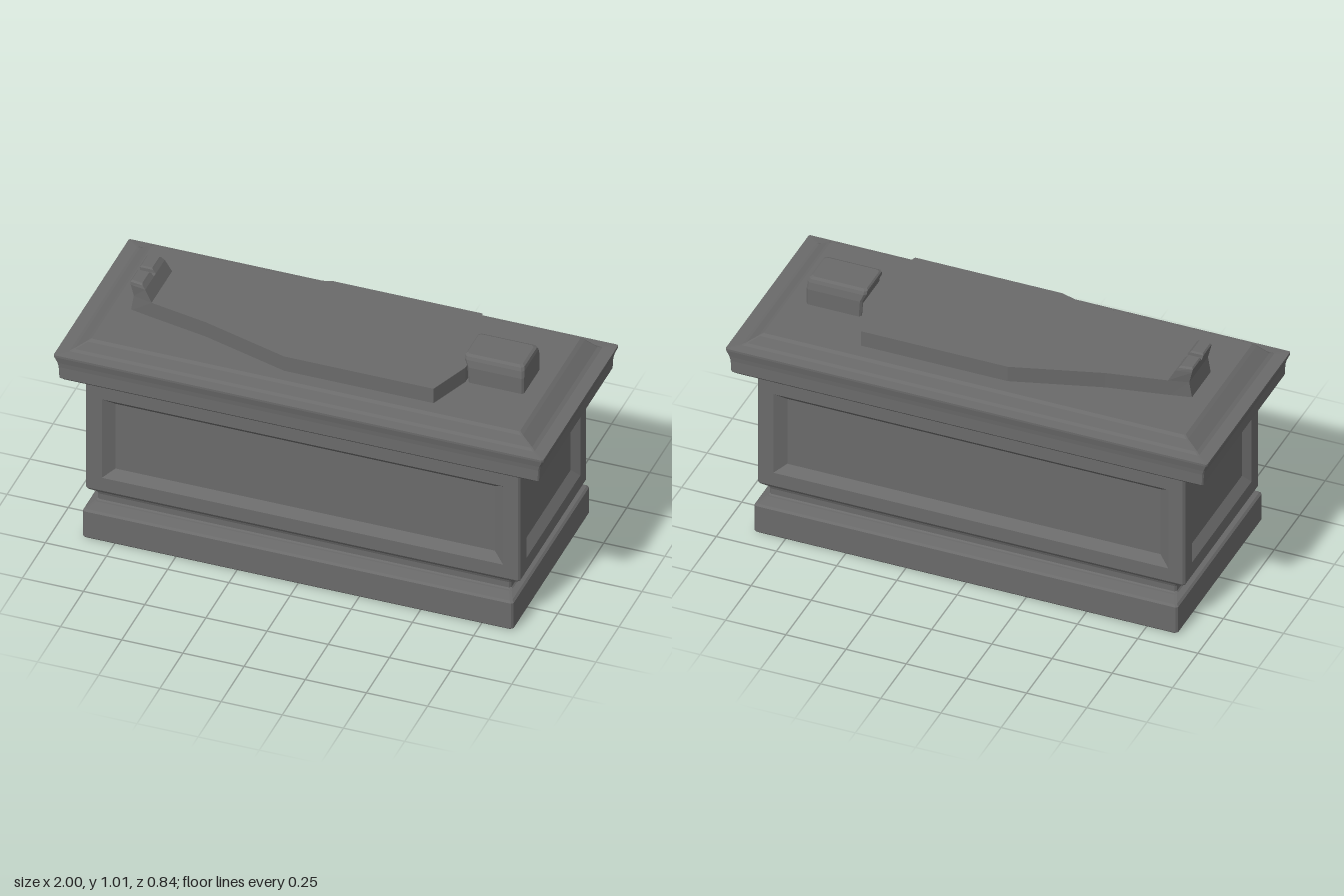
import * as THREE from 'three';

const stone = new THREE.MeshStandardMaterial({ color: 0x6a6a6a });
stone.name = 'grey stone';

// Joins equal-length rings of [x, y, z] points with flat faces.
function loft(rings, { start = true, end = true, skip = () => false } = {}) {
  const pos = [];
  const tri = (a, b, c) => pos.push(...a, ...b, ...c);
  const n = rings[0].length;
  for (let r = 0; r < rings.length - 1; r++) {
    const a = rings[r], b = rings[r + 1];
    for (let i = 0; i < n; i++) {
      if (skip(r, i)) continue;
      const j = (i + 1) % n;
      tri(a[i], a[j], b[j]);
      tri(a[i], b[j], b[i]);
    }
  }
  const last = rings[rings.length - 1];
  for (let i = 1; i < n - 1; i++) {
    if (start) tri(rings[0][0], rings[0][i + 1], rings[0][i]);
    if (end) tri(last[0], last[i], last[i + 1]);
  }
  const g = new THREE.BufferGeometry();
  g.setAttribute('position', new THREE.Float32BufferAttribute(pos, 3));
  g.computeVertexNormals();
  return g;
}

// Horizontal rectangle with small chamfered corners.
function rectRing(hx, hz, y, c = 0.008) {
  return [[hx, hz - c], [hx, c - hz], [hx - c, -hz], [c - hx, -hz],
    [-hx, c - hz], [-hx, hz - c], [c - hx, hz], [hx - c, hz]].map(([x, z]) => [x, y, z]);
}

// Upright rectangle facing +z.
function panelRing(hx, y0, y1, z) {
  return [[hx, y0, z], [hx, y1, z], [-hx, y1, z], [-hx, y0, z]];
}

export function createModel() {
  const model = new THREE.Group();
  const add = (name, geometry, parent = model) => {
    const mesh = new THREE.Mesh(geometry, stone);
    mesh.name = name;
    parent.add(mesh);
    return mesh;
  };

  // Plinth
  add('plinth', loft([
    [0.872, 0.41, 0], [0.88, 0.418, 0.008], [0.88, 0.418, 0.125],
    [0.872, 0.41, 0.133], [0.85, 0.36, 0.14],
  ].map((p) => rectRing(...p))));

  // Chest core with a narrow neck; its four broad sides are left open for the panels
  const HX = 0.888, HZ = 0.365, C = 0.008, Y0 = 0.2, Y1 = 0.69;
  add('chestCore', loft([
    [0.855, 0.355, 0.135], [0.845, 0.346, 0.145], [0.845, 0.346, 0.17], [0.855, 0.35, 0.182],
    [HX - 0.005, HZ - 0.005, 0.192], [HX, HZ, Y0], [HX, HZ, Y1], [HX - 0.01, HZ - 0.01, 0.705],
  ].map((p) => rectRing(...p, C)), { skip: (r, i) => r === 5 && i % 2 === 0 }));

  // Recessed panels on all four sides
  const sides = [
    ['frontPanel', 0, HX - C, HZ, 0.82, 0.045],
    ['backPanel', Math.PI, HX - C, HZ, 0.82, 0.045],
    ['leftPanel', Math.PI / 2, HZ - C, HX, 0.293, 0.024],
    ['rightPanel', -Math.PI / 2, HZ - C, HX, 0.293, 0.024],
  ];
  for (const [name, turn, half, dist, w, bevel] of sides) {
    add(name, loft([
      panelRing(half, Y0, Y1, dist),
      panelRing(w, 0.26, 0.627, dist),
      panelRing(w - bevel, 0.295, 0.598, dist - 0.03),
    ], { start: false })).rotation.y = turn;
  }

  // Overhanging lid with moulded edge and raised bevelled top
  add('lid', loft([
    [0.88, 0.358, 0.69], [0.9, 0.372, 0.7], [0.965, 0.398, 0.708], [0.98, 0.405, 0.716],
    [0.983, 0.405, 0.765], [0.988, 0.407, 0.785], [1, 0.412, 0.812], [1, 0.412, 0.821],
    [0.95, 0.372, 0.825], [0.935, 0.36, 0.832], [0.89, 0.342, 0.866], [0.875, 0.33, 0.875],
  ].map((p) => rectRing(...p, 0.005))));

  // Reclining figure
  const figure = new THREE.Group();
  figure.name = 'figure';
  figure.position.z = 0.004;
  model.add(figure);

  // Flat body outline
  const half = [[-0.79, 0.092], [-0.71, 0.112], [-0.47, 0.16], [-0.11, 0.267], [0.5, 0.267], [0.565, 0.092]];
  const outline = [...half, ...half.map(([x, z]) => [x, -z]).reverse()];
  const shape = new THREE.Shape(outline.map(([x, z]) => new THREE.Vector2(x, z)));
  const body = new THREE.ExtrudeGeometry(shape, { depth: 0.07, bevelEnabled: false });
  body.rotateX(Math.PI / 2);
  body.translate(0, 0.942, 0);
  add('body', body, figure);

  // Head block with softened top
  const headRing = (x0, x1, hz, y, c) => rectRing((x1 - x0) / 2, hz, y, c)
    .map(([x, h, z]) => [x + (x0 + x1) / 2, h, z]);
  add('head', loft([
    headRing(0.575, 0.802, 0.092, 0.87, 0.008),
    headRing(0.57, 0.802, 0.092, 0.945, 0.008),
    headRing(0.556, 0.801, 0.086, 0.975, 0.01),
    headRing(0.556, 0.797, 0.08, 0.988, 0.01),
    headRing(0.562, 0.787, 0.068, 0.994, 0.01),
  ]), figure);

  // Upturned feet with a slot between them
  const footRing = (x0, x1, z0, w0, w1, y) =>
    [[x1, w1], [x1, z0], [x0, z0], [x0, w0]].map(([x, z]) => [x, y, z]);
  const foot = [
    footRing(-0.802, -0.71, 0, 0.092, 0.112, 0.87),
    footRing(-0.79, -0.71, 0, 0.092, 0.112, 0.942),
    footRing(-0.802, -0.738, 0, 0.094, 0.106, 0.992),
    footRing(-0.802, -0.738, 0.01, 0.094, 0.106, 0.992),
    footRing(-0.805, -0.75, 0.011, 0.092, 0.101, 1.005),
    footRing(-0.8, -0.755, 0.016, 0.086, 0.093, 1.011),
  ];
  add('leftFoot', loft(foot), figure);
  const mirrored = foot.map((ring) => ring.map(([x, y, z]) => [x, y, -z]).reverse());
  add('rightFoot', loft(mirrored), figure);

  return model;
}
